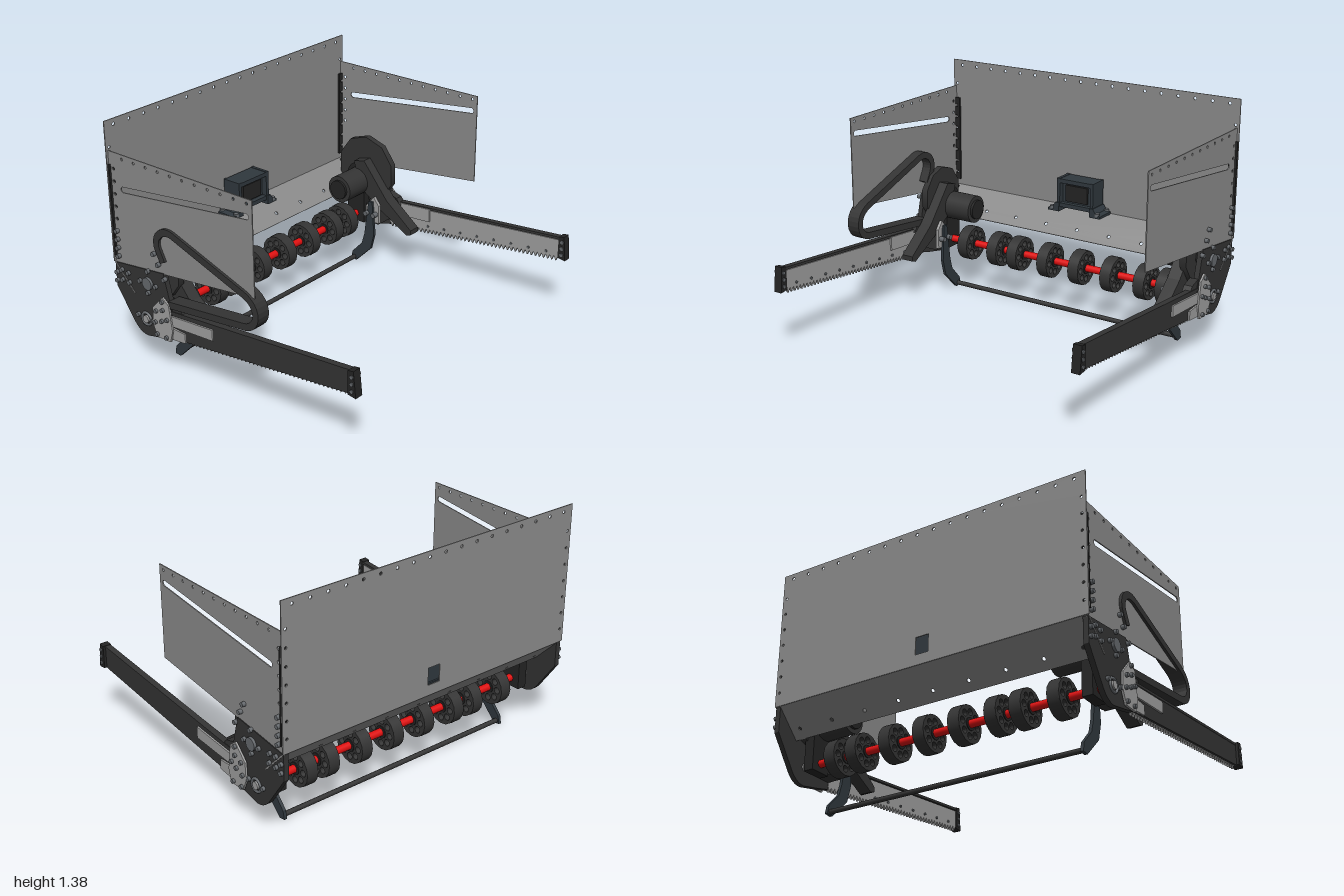
import * as THREE from 'three';

const mat = c => new THREE.MeshStandardMaterial({ color: c });
const sheet = mat(0x8c8c8c), dark = mat(0x343434), black = mat(0x242424);
const steel = mat(0xa0a0a0), red = mat(0xe01010), slate = mat(0x30383e), bolt = mat(0x666a6e);
sheet.side = THREE.DoubleSide;

export function createModel() {
  const model = new THREE.Group();

  const add = (name, geo, m, x = 0, y = 0, z = 0) => {
    const mesh = new THREE.Mesh(geo, m);
    mesh.name = name;
    mesh.position.set(x, y, z);
    model.add(mesh);
    return mesh;
  };
  const outline = pts => new THREE.Shape(pts.map(p => new THREE.Vector2(p[0], p[1])));
  const circle = (x, y, r) => new THREE.Path().absarc(x, y, r, 0, Math.PI * 2, true);
  // Plate in the xy plane, centred through its thickness
  const plate = (shape, t, holes = []) => {
    shape.holes.push(...holes);
    return new THREE.ExtrudeGeometry(shape, { depth: t, bevelEnabled: false, curveSegments: 8 }).translate(0, 0, -t / 2);
  };
  const rod = (r, len, sides = 24) => new THREE.CylinderGeometry(r, r, len, sides).rotateX(Math.PI / 2);
  const box = (w, h, d) => new THREE.BoxGeometry(w, h, d);
  const row = (n, a, b) => Array.from({ length: n }, (_, i) => a + (b - a) * i / (n - 1));
  // Flat strip of constant width following a curve
  const strip = (curve, w, n) => {
    const left = [], right = [];
    for (let i = 0; i <= n; i++) {
      const p = curve.getPoint(i / n), t = curve.getTangent(i / n);
      left.push([p.x - t.y * w / 2, p.y + t.x * w / 2]);
      right.unshift([p.x + t.y * w / 2, p.y - t.x * w / 2]);
    }
    return outline([...left, ...right]);
  };

  // Back wall with perforated edges and a small service opening
  const wallHoles = [
    ...row(18, -0.91, 0.91).map(z => circle(z, 1.358, 0.009)),
    ...[-1, 1].flatMap(s => row(7, 0.66, 1.24).map(y => circle(s * 0.95, y, 0.008))),
  ];
  const opening = new THREE.Path([[-0.04, 0.64], [-0.04, 0.74], [0.04, 0.74], [0.04, 0.64]].map(p => new THREE.Vector2(...p)));
  add('backWall', plate(outline([[-0.975, 0.58], [0.975, 0.58], [0.975, 1.39], [-0.975, 1.39]]), 0.006,
    [...wallHoles, opening]).rotateY(Math.PI / 2), sheet, -0.847);

  // Sloping floor strip below the wall
  add('floorStrip', plate(outline([[-0.97, 0], [0.97, 0], [0.97, 0.21], [-0.97, 0.21]]), 0.006,
    row(9, -0.88, 0.88).map(z => circle(z, 0.06, 0.01))).rotateY(Math.PI / 2).rotateZ(0.77), sheet, -0.7, 0.43);

  // Control box on its bracket
  add('controlBox', box(0.08, 0.16, 0.2), slate, -0.78, 0.7);
  add('controlBoxFace', box(0.02, 0.1, 0.15), black, -0.735, 0.7);
  for (const y of [0.625, 0.775]) add('boxFrameRail', box(0.12, 0.025, 0.25), slate, -0.77, y);
  for (const s of [-1, 1]) {
    add('boxFrameSide', box(0.12, 0.18, 0.02), slate, -0.77, 0.7, s * 0.115);
    const foot = [[0.105, 0.585], [0.18, 0.585], [0.18, 0.6], [0.15, 0.61], [0.13, 0.64], [0.105, 0.64]];
    const geo = plate(outline(s > 0 ? foot.map(p => [-p[0], p[1]]).reverse() : foot), 0.13).rotateY(Math.PI / 2);
    add('boxFoot', geo, slate, -0.765);
    for (const x of [-0.82, -0.71]) add('footBolt', new THREE.CylinderGeometry(0.016, 0.016, 0.02, 10), bolt, x, 0.605, s * 0.155);
  }

  // Driven roller shaft and its spoked wheels
  const ax = -0.615, ay = 0.3;
  add('rollerShaft', rod(0.022, 1.92), red, ax, ay);
  const tyre = new THREE.Shape().absarc(0, 0, 0.104, 0, Math.PI * 2);
  const wheelGeo = plate(tyre, 0.07, row(9, 0, Math.PI * 2).slice(0, 8).map(a => circle(0.066 * Math.cos(a), 0.066 * Math.sin(a), 0.019)));
  const ringGeo = new THREE.CylinderGeometry(0.105, 0.105, 0.06, 32, 1, true).rotateX(Math.PI / 2);
  for (const z of [0.69, 0.472, 0.327, 0.108, -0.11, -0.328, -0.548, -0.69]) {
    add('roller', wheelGeo, dark, ax, ay, z);
    add('rollerTread', ringGeo, dark, ax, ay, z);
    add('rollerHub', rod(0.036, 0.08, 16), black, ax, ay, z);
  }

  // Low cross rod
  add('crossRod', rod(0.014, 1.57, 16), dark, -0.58, 0.025);

  // Outline of a cutter blade: straight top, toothed bottom
  const top = x => 0.41 + (x + 0.43) * 0.087, low = x => 0.245 + (x + 0.43) * 0.112;
  const teeth = row(89, -0.42, 0.8).map((x, i) => [x, low(x) - (i % 2 ? 0.02 : -0.01)]);
  const blade = () => outline([...teeth, [0.8, top(0.8) - 0.02], [-0.42, top(-0.42) - 0.02]]);

  for (const s of [-1, 1]) {
    const put = (name, geo, m, z, x = 0, y = 0) => add(name, geo, m, x, y, s * z);

    // Side panel with long slot
    const a = Math.atan2(0.105, 0.9), n = [-Math.sin(a) * 0.016, Math.cos(a) * 0.016];
    const slot = new THREE.Path();
    slot.absarc(-0.745, 1.025, 0.016, a + Math.PI / 2, a + Math.PI * 1.5, false);
    slot.absarc(0.145, 1.129, 0.016, a - Math.PI / 2, a + Math.PI / 2, false);
    slot.lineTo(-0.745 + n[0], 1.025 + n[1]);
    const panel = outline([[-0.845, 0.57], [-0.42, 0.62], [0.185, 0.69], [0.185, 1.225], [-0.845, 1.225]]);
    put('sidePanel', plate(panel, 0.006, [slot,
      ...row(11, -0.74, 0.15).map(x => circle(x, 1.2, 0.008)),
      ...row(5, 0.84, 1.13).map(y => circle(-0.81, y, 0.009))]), sheet, 0.96);

    // Drilled corner angle joining panel and wall
    put('cornerAngle', plate(outline([[-0.025, 0.62], [0.025, 0.62], [0.025, 1.15], [-0.025, 1.15]]), 0.012,
      row(7, 0.67, 1.1).map(y => circle(0, y, 0.01))).rotateY(Math.PI / 2), black, 0.95, -0.835);

    // End plate carrying drive and cutter
    const end = new THREE.Shape().moveTo(-0.845, 0.575).lineTo(-0.845, 0.43).lineTo(-0.72, 0.25);
    end.quadraticCurveTo(-0.68, 0.195, -0.62, 0.195).lineTo(-0.5, 0.22).lineTo(-0.42, 0.24).lineTo(-0.42, 0.42);
    end.lineTo(-0.47, 0.62).closePath();
    put('endPlate', plate(end, 0.03), dark, 0.953);
    put('bearingRing', new THREE.TorusGeometry(0.036, 0.008, 8, 24), bolt, 0.97, ax - 0.005, ay);
    put('bearingCap', rod(0.022, 0.05, 16), steel, 0.955, ax - 0.005, ay);
    const bolts = [[-0.79, 0.545], [-0.74, 0.54], [-0.79, 0.485], [-0.735, 0.485], [-0.83, 0.52], [-0.83, 0.47],
      [-0.585, 0.6], [-0.46, 0.59], [-0.53, 0.525], [-0.65, 0.525], [-0.59, 0.47], [-0.68, 0.31], [-0.56, 0.31],
      ...row(4, 0.62, 0.77).map(y => [-0.81, y]), [-0.53, 0.72], [-0.5, 0.665]];
    for (const [x, y] of bolts) put('plateBolt', rod(0.013, 0.025, 10), bolt, 0.972, x, y);
    put('motorFlange', rod(0.036, 0.03, 20), bolt, 0.968, -0.59, 0.525);

    // Drive motor, gear case and lower bearing block
    put('motor', rod(0.085, 0.21, 28), dark, 0.745, -0.595, 0.53);
    put('motorEnd', rod(0.06, 0.03, 24), black, 0.64, -0.595, 0.53);
    const r = s > 0 ? 0.17 : 0.21;
    put('gearCase', rod(r, 0.04, 10), dark, 0.895, -0.575, 0.6);
    put('gearCaseHub', rod(0.1, 0.1, 16), black, 0.885, -0.59, 0.55);
    put('bearingBlock', box(0.13, 0.22, 0.06), black, 0.86, ax, 0.36);

    // Inner sloping arm
    put('innerArm', plate(outline([[-0.62, 0.66], [-0.56, 0.49], [-0.4, 0.38], [-0.2, 0.27], [-0.17, 0.28],
      [-0.17, 0.31], [-0.36, 0.46], [-0.54, 0.68]]), 0.075), dark, 0.85);

    // Hanger for the cross rod
    put('rodHanger', plate(outline([[-0.605, 0.01], [-0.565, 0.005], [-0.51, 0.06], [-0.45, 0.12], [-0.425, 0.22],
      [-0.44, 0.44], [-0.47, 0.44], [-0.5, 0.21], [-0.52, 0.14], [-0.595, 0.06]]), 0.018), slate, 0.78);

    // Riveted clamp plates, outside and inside
    const clamp = () => outline([[-0.525, 0.23], [-0.425, 0.23], [-0.405, 0.3], [-0.425, 0.45], [-0.47, 0.485],
      [-0.55, 0.4], [-0.555, 0.3]]);
    put('outerClamp', plate(clamp(), 0.012), steel, 0.98);
    put('innerClamp', plate(outline([[-0.5, 0.3], [-0.4, 0.3], [-0.4, 0.42], [-0.44, 0.47], [-0.5, 0.4]]), 0.02), steel, 0.795);
    for (const [x, y] of [[-0.52, 0.25], [-0.45, 0.25], [-0.53, 0.32], [-0.48, 0.34], [-0.44, 0.36], [-0.52, 0.39], [-0.47, 0.41], [-0.47, 0.46]])
      put('clampRivet', rod(0.012, 0.02, 10), bolt, 0.99, x, y);
    for (const x of [-0.48, -0.42]) put('innerBolt', rod(0.016, 0.05, 10), bolt, 0.775, x, 0.36);
    put('clampSpacer', box(0.1, 0.12, 0.14), dark, 0.88, -0.47, 0.34);

    // Cutter bar: toothed blade, dark outer cover, end block and wear plates
    put('toothedBlade', plate(blade(), 0.014), steel, 0.944);
    put('cutterCover', plate(outline([[-0.43, low(-0.43)], [0.82, low(0.82)], [0.82, top(0.82)], [-0.43, top(-0.43)]]), 0.014), dark, 0.96);
    put('cutterTopEdge', plate(outline([[-0.43, 0.395], [0.82, top(0.82) - 0.015], [0.82, top(0.82)], [-0.43, 0.41]]), 0.036), dark, 0.951);
    put('cutterEnd', plate(outline([[0.8, 0.385], [0.85, 0.378], [0.835, 0.525], [0.8, 0.52]]), 0.05), black, 0.957);
    for (const y of [0.41, 0.45, 0.49]) put('endBolt', rod(0.011, 0.062, 10), bolt, 0.957, 0.825, y);
    for (const x of row(9, -0.25, 0.72)) put('bladeRivet', rod(0.008, 0.01, 8), bolt, 0.935, x, low(x) + 0.03);
    put('upperWearPlate', plate(outline([[-0.42, 0.325], [-0.115, 0.345], [-0.115, 0.41], [-0.42, 0.385]]), 0.01), steel, 0.972);
    put('innerWearPlate', plate(outline([[-0.42, 0.325], [-0.115, 0.345], [-0.115, 0.43], [-0.42, 0.405]]), 0.012), steel, 0.932);
    put('lowerWearPlate', plate(outline([[-0.415, 0.245], [-0.32, 0.255], [-0.32, 0.31], [-0.415, 0.315]]), 0.01), steel, 0.972);
    put('cutterBracket', plate(outline([[-0.43, 0.4], [-0.33, 0.4], [-0.36, 0.44], [-0.43, 0.46]]), 0.05), dark, 0.94);
  }

  // Guard loop on one side only
  const v = (x, y) => new THREE.Vector2(x, y);
  const loop = new THREE.CurvePath();
  loop.add(new THREE.LineCurve(v(-0.46, 0.69), v(-0.492, 0.755)));
  loop.add(new THREE.CubicBezierCurve(v(-0.492, 0.755), v(-0.53, 0.83), v(-0.45, 0.9), v(-0.37, 0.867)));
  loop.add(new THREE.LineCurve(v(-0.37, 0.867), v(0.125, 0.695)));
  loop.add(new THREE.CubicBezierCurve(v(0.125, 0.695), v(0.235, 0.65), v(0.215, 0.525), v(0.12, 0.513)));
  loop.add(new THREE.LineCurve(v(0.12, 0.513), v(-0.43, 0.45)));
  add('guardLoop', plate(strip(loop, 0.04, 70), 0.08), dark, 0, 0, 0.938);

  return model;
}
